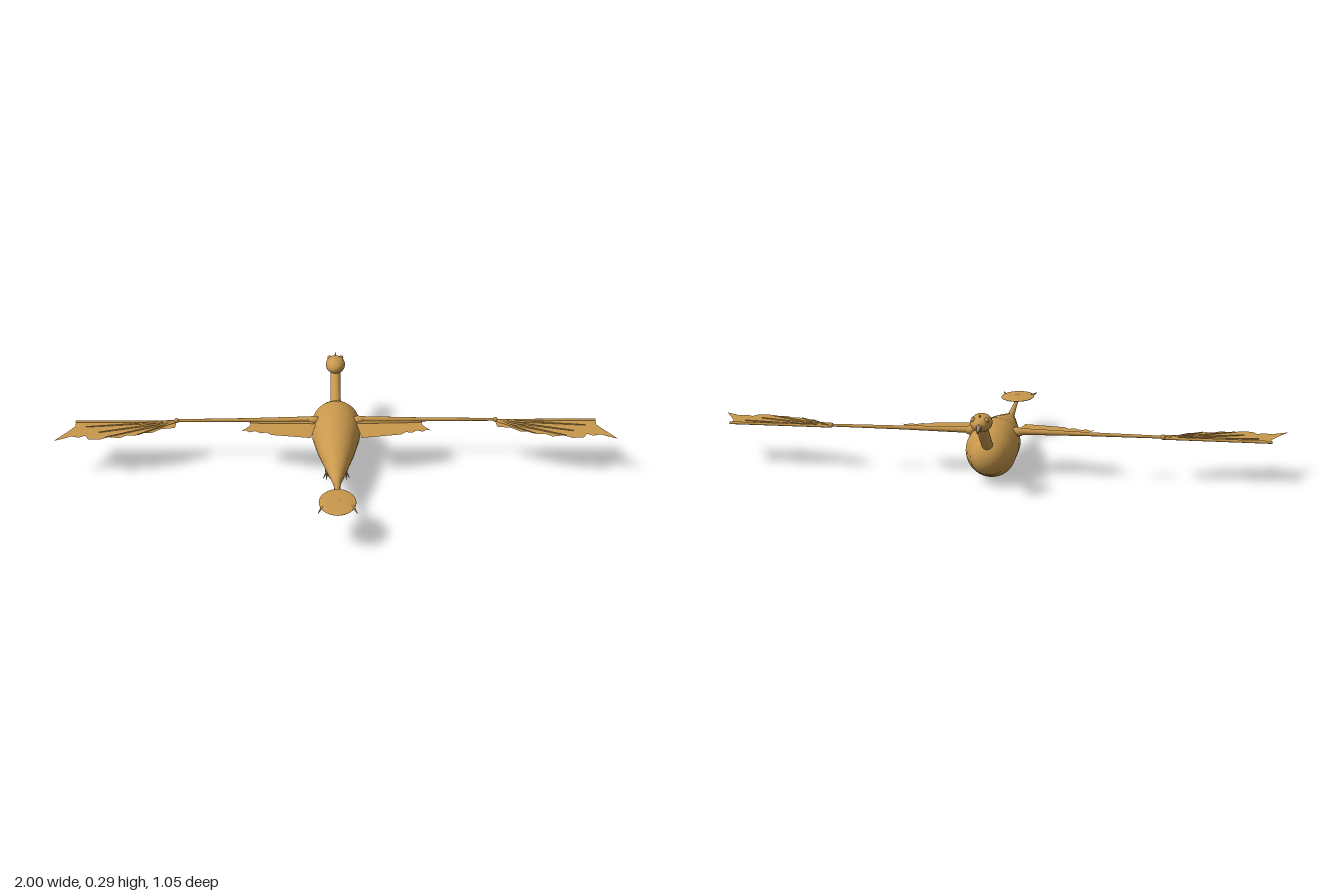
import * as THREE from 'three';

const hide = new THREE.MeshStandardMaterial({ color: 0xc8984c, side: THREE.DoubleSide });
hide.name = 'tan hide';
const horn = new THREE.MeshStandardMaterial({ color: 0x94835f });
horn.name = 'dull horn';

const V = (x, y, z) => new THREE.Vector3(x, y, z);

function add(parent, name, geometry, material = hide) {
  const mesh = new THREE.Mesh(geometry, material);
  mesh.name = name;
  parent.add(mesh);
  return mesh;
}

// Tapered round bar from a to b
function bar(parent, name, a, b, ra, rb, material = hide, sides = 12) {
  const mesh = add(parent, name, new THREE.CylinderGeometry(rb, ra, a.distanceTo(b), sides), material);
  mesh.position.copy(a).add(b).multiplyScalar(0.5);
  mesh.quaternion.setFromUnitVectors(V(0, 1, 0), b.clone().sub(a).normalize());
  return mesh;
}

function ellipsoid(parent, name, center, radii, material = hide, segments = 32) {
  const mesh = add(parent, name, new THREE.SphereGeometry(1, segments, segments / 2), material);
  mesh.position.copy(center);
  mesh.scale.copy(radii);
  return mesh;
}

// Smooth skin over elliptical rings [z, centre y, half width, half height]
function loft(rings, sides = 40) {
  const pos = [], index = [];
  rings.forEach(([z, cy, rx, ry], i) => {
    for (let j = 0; j < sides; j++) {
      const a = (j / sides) * Math.PI * 2;
      pos.push(Math.cos(a) * rx, cy + Math.sin(a) * ry, z);
      if (i === rings.length - 1) continue;
      const p = i * sides + j, q = i * sides + (j + 1) % sides;
      index.push(p, p + sides, q, q, p + sides, q + sides);
    }
  });
  const g = new THREE.BufferGeometry();
  g.setAttribute('position', new THREE.Float32BufferAttribute(pos, 3));
  g.setIndex(index);
  g.computeVertexNormals();
  return g;
}

// Flat skin in the horizontal plane, outlined by [x, z] points
function membrane(parent, name, outline, side, y) {
  const shape = new THREE.Shape(outline.map(([x, z]) => new THREE.Vector2(x * side, -z)));
  add(parent, name, new THREE.ShapeGeometry(shape).rotateX(-Math.PI / 2)).position.y = y;
}

function wing(side) {
  const g = new THREE.Group();
  g.name = side > 0 ? 'leftWing' : 'rightWing';
  const P = (x, z, y = 0.151) => V(x * side, y, z);
  const wrist = P(0.578, -0.16, 0.155);

  // Arm
  ellipsoid(g, 'shoulder', P(0.08, -0.158, 0.155), V(0.025, 0.016, 0.016));
  bar(g, 'upperArm', P(0.07, -0.16, 0.157), P(0.32, -0.16, 0.156), 0.012, 0.007);
  bar(g, 'forearm', P(0.32, -0.16, 0.156), wrist, 0.007, 0.005);
  ellipsoid(g, 'wrist', wrist, V(0.009, 0.009, 0.009), hide, 16);

  // Inner skin beside the body
  membrane(g, 'innerMembrane', [
    [0.07, -0.16], [0.315, -0.16], [0.308, -0.135], [0.32, -0.11], [0.34, -0.082], [0.325, -0.088],
    [0.31, -0.072], [0.29, -0.082], [0.27, -0.064], [0.25, -0.07], [0.23, -0.05], [0.09, -0.025],
  ], side, 0.15);
  bar(g, 'innerRib', P(0.08, -0.145), P(0.31, -0.15), 0.006, 0.004);

  // Outer skin with ragged trailing edge
  membrane(g, 'outerMembrane', [
    [0.578, -0.164], [0.943, -0.164], [0.94, -0.125], [0.965, -0.075], [1, -0.01], [0.965, -0.03],
    [0.945, -0.045], [0.915, -0.035], [0.895, -0.05], [0.88, -0.022], [0.84, -0.018], [0.81, -0.038],
    [0.77, -0.03], [0.745, -0.052], [0.72, -0.048], [0.69, -0.07], [0.66, -0.07], [0.63, -0.1], [0.58, -0.11],
  ], side, 0.15);

  // Fingers
  [[0.943, -0.162], [0.9, -0.12], [0.85, -0.075], [0.82, -0.036], [0.71, -0.054]].forEach(([x, z], i) =>
    bar(g, 'finger' + (i + 1), P(0.578, -0.16), P(x, z), 0.005, i ? 0.002 : 0.005, hide, 8));
  return g;
}

function leg(side) {
  const g = new THREE.Group();
  g.name = side > 0 ? 'leftLeg' : 'rightLeg';
  const x = 0.035 * side;
  const ankle = V(x, 0.02, -0.012);
  bar(g, 'shin', V(x, 0.055, -0.05), ankle, 0.008, 0.005, horn);
  for (const t of [-1, 0, 1]) {
    bar(g, 'toe', ankle, V(x + t * 0.012, 0.002 + Math.abs(t) * 0.004, 0.013 - Math.abs(t) * 0.004), 0.004, 0.001, horn, 8);
  }
  bar(g, 'backToe', ankle, V(x, 0.018, -0.032 + 0.05), 0.003, 0.001, horn, 8);
  return g;
}

export function createModel() {
  const model = new THREE.Group();
  model.name = 'wingedCreature';

  // Body and chest
  add(model, 'body', loft([
    [0.275, 0.112, 0.003, 0.006], [0.25, 0.111, 0.012, 0.013], [0.2, 0.111, 0.023, 0.022],
    [0.1, 0.111, 0.045, 0.043], [0, 0.11, 0.066, 0.063], [-0.12, 0.109, 0.086, 0.084],
    [-0.18, 0.11, 0.089, 0.086], [-0.235, 0.104, 0.087, 0.092], [-0.27, 0.103, 0.076, 0.078],
    [-0.3, 0.1, 0.055, 0.055], [-0.32, 0.1, 0.002, 0.002],
  ]));
  ellipsoid(model, 'chest', V(0, 0.098, -0.275), V(0.066, 0.067, 0.06));

  // Neck and head
  const neck = new THREE.CatmullRomCurve3([V(0, 0.125, -0.285), V(0, 0.165, -0.34), V(0, 0.205, -0.39), V(0, 0.245, -0.43)]);
  add(model, 'neck', new THREE.TubeGeometry(neck, 24, 0.019, 20));
  ellipsoid(model, 'head', V(0, 0.252, -0.436), V(0.036, 0.03, 0.053));
  bar(model, 'upperBeak', V(0, 0.252, -0.475), V(0, 0.236, -0.523), 0.011, 0.001, horn);
  bar(model, 'lowerBeak', V(0, 0.242, -0.475), V(0, 0.231, -0.508), 0.008, 0.001, horn);
  bar(model, 'crest', V(0, 0.27, -0.462), V(0, 0.288, -0.468), 0.004, 0.0005, hide, 8);

  // Tail and its flat paddle
  bar(model, 'tail', V(0, 0.111, 0.24), V(0, 0.134, 0.4), 0.013, 0.006);
  ellipsoid(model, 'tailPaddle', V(0, 0.144, 0.433), V(0.062, 0.006, 0.09));
  ellipsoid(model, 'paddleBoss', V(0, 0.147, 0.433), V(0.014, 0.005, 0.018), hide, 16);

  for (const side of [1, -1]) {
    ellipsoid(model, 'eye', V(0.022 * side, 0.267, -0.465), V(0.008, 0.009, 0.009), hide, 16);
    bar(model, 'paddleSpike', V(0.05 * side, 0.144, 0.46), V(0.064 * side, 0.144, 0.508), 0.005, 0.001, hide, 8);
    model.add(wing(side), leg(side));
  }
  return model;
}
